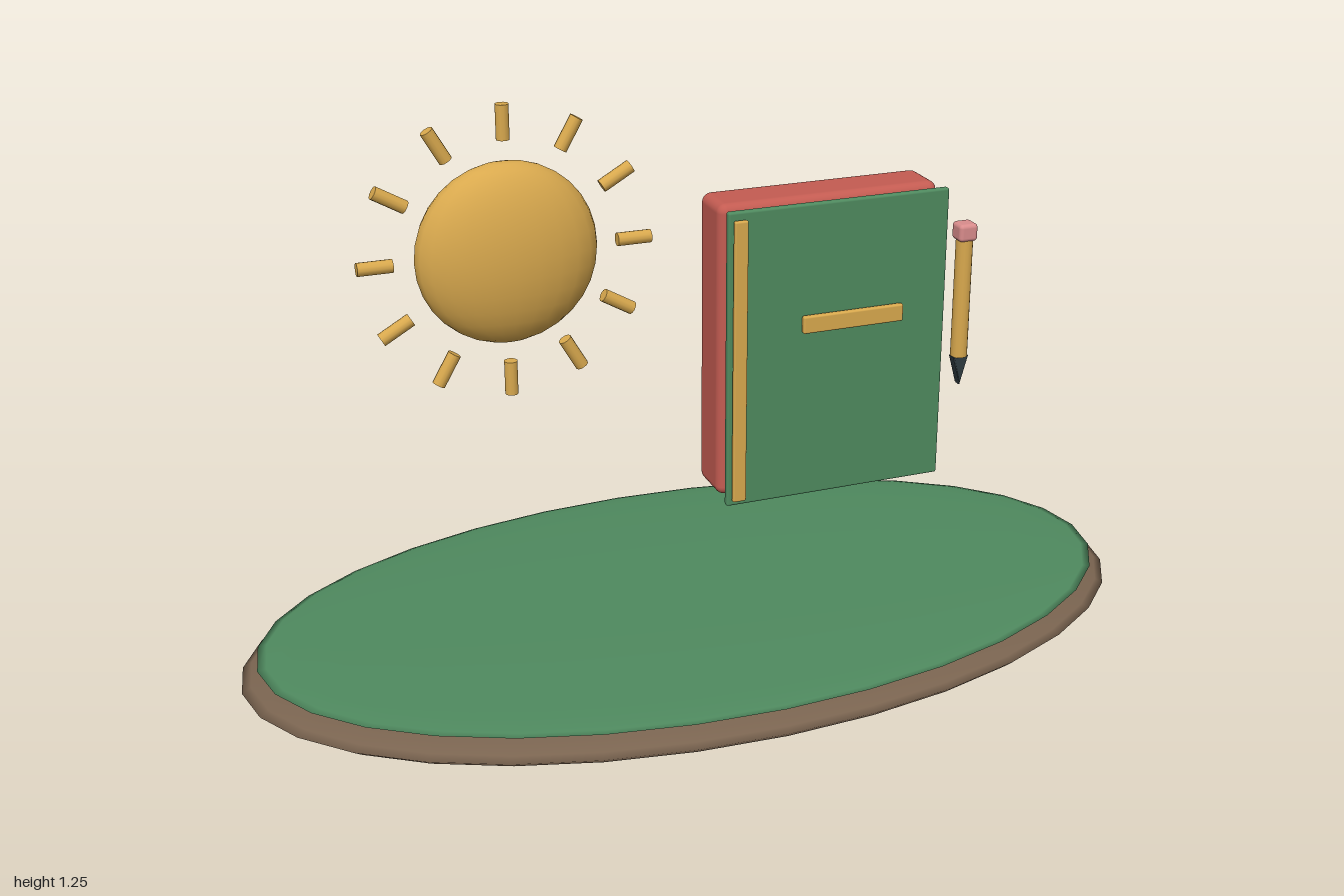
import * as THREE from 'three';
import { RoundedBoxGeometry } from 'three/addons/geometries/RoundedBoxGeometry.js';

const mat = (color) => new THREE.MeshStandardMaterial({ color });
const green = mat(0x4f8a5f), brown = mat(0x7a6450), gold = mat(0xd9a94e), red = mat(0xc45c52);
const cream = mat(0xe8dcc4), pink = mat(0xd98c8c), dark = mat(0x2f3b40);

function add(parent, name, geometry, material, x, y, z) {
  const mesh = new THREE.Mesh(geometry, material);
  mesh.name = name;
  mesh.position.set(x, y, z);
  parent.add(mesh);
  return mesh;
}

const ellipsoid = (rx, ry, rz, w, h) => new THREE.SphereGeometry(1, w, h).scale(rx, ry, rz);
const block = (w, h, d, r) => new RoundedBoxGeometry(w, h, d, 3, r);

function group(parent, name) {
  const g = new THREE.Group();
  g.name = name;
  parent.add(g);
  return g;
}

export function createModel() {
  const model = new THREE.Group();
  model.name = 'studyIsland';

  // Ground: earth disc with a thin grass disc on top
  const ground = group(model, 'ground');
  add(ground, 'earth', ellipsoid(1, 0.058, 0.545, 32, 16), brown, 0, 0.06, 0);
  add(ground, 'grass', ellipsoid(0.965, 0.018, 0.525, 32, 16), green, 0, 0.105, 0);

  // Sun: flattened ball with a ring of twelve rays
  const sun = group(model, 'sun');
  sun.position.set(-0.4, 0.95, 0);
  add(sun, 'sunDisc', ellipsoid(0.19, 0.19, 0.076, 24, 16), gold, 0, 0, 0);
  const rayGeometry = new THREE.CylinderGeometry(0.014, 0.014, 0.072, 12);
  for (let i = 0; i < 12; i++) {
    const a = (i / 12) * Math.PI * 2;
    const ray = add(sun, 'sunRay', rayGeometry, gold, Math.sin(a) * 0.269, Math.cos(a) * 0.269, 0);
    ray.rotation.z = -a;
  }

  // Book: body, pages, loose front cover, spine strip and title bar
  const book = group(model, 'book');
  add(book, 'bookBody', block(0.5, 0.655, 0.116, 0.02), red, 0.285, 0.687, 0);
  add(book, 'pages', block(0.44, 0.575, 0.08, 0.02), cream, 0.3, 0.687, 0.045);
  add(book, 'frontCover', block(0.5, 0.655, 0.016, 0.005), green, 0.285, 0.687, 0.1);
  add(book, 'spineStrip', block(0.03, 0.625, 0.012, 0.004), gold, 0.058, 0.687, 0.119);
  add(book, 'titleBar', block(0.23, 0.038, 0.014, 0.004), gold, 0.315, 0.755, 0.116);

  // Pencil: round shaft, eraser and a wedge-shaped point
  const pencil = group(model, 'pencil');
  pencil.position.x = 0.635;
  add(pencil, 'pencilShaft', new THREE.CylinderGeometry(0.019, 0.019, 0.275, 16), gold, 0, 0.722, 0);
  add(pencil, 'eraser', block(0.044, 0.04, 0.044, 0.009), pink, 0, 0.876, 0);
  const wedge = new THREE.Shape([
    new THREE.Vector2(-0.015, 0.582), new THREE.Vector2(0, 0.522), new THREE.Vector2(0.015, 0.582),
  ]);
  const tip = new THREE.ExtrudeGeometry(wedge, {
    depth: 0.014, bevelEnabled: true, bevelSize: 0.004, bevelThickness: 0.005, bevelSegments: 2,
  });
  add(pencil, 'pencilTip', tip, dark, 0, 0, -0.007);

  return model;
}
